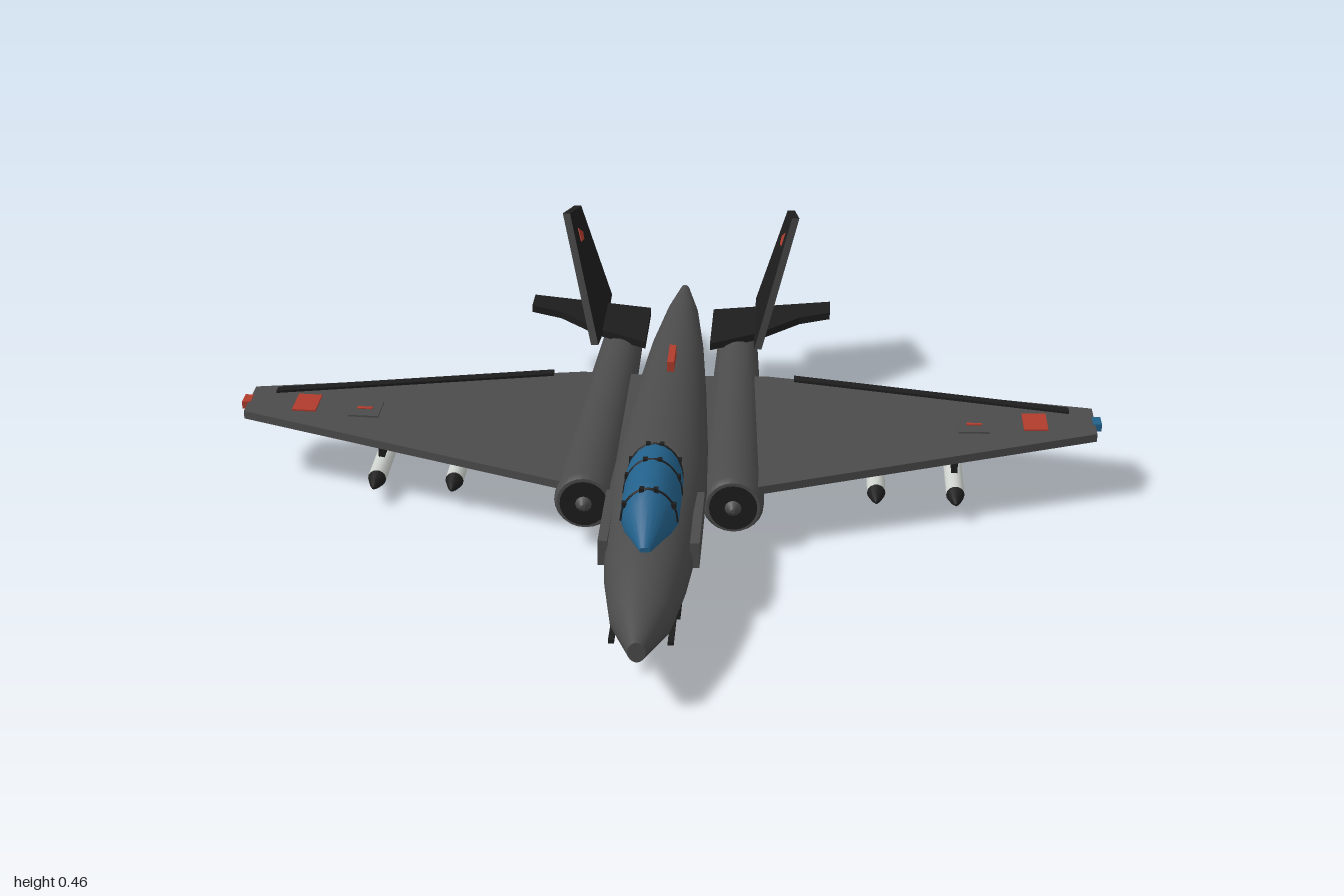
import * as THREE from 'three';

const mat = (name, color, side = THREE.FrontSide) => {
  const m = new THREE.MeshStandardMaterial({ color, side });
  m.name = name;
  return m;
};

// Skin through elliptical sections [z, centreX, centreY, radiusX, radiusY], nose first, with flat caps
function loft(sections, n = 24) {
  const pos = [], idx = [];
  const ring = ([z, cx, cy, rx, ry]) => {
    const start = pos.length / 3;
    for (let j = 0; j < n; j++) {
      const a = (j / n) * Math.PI * 2;
      pos.push(cx + rx * Math.cos(a), cy + ry * Math.sin(a), z);
    }
    return start;
  };
  const rings = sections.map(ring);
  for (let i = 0; i + 1 < rings.length; i++) {
    for (let j = 0; j < n; j++) {
      const k = (j + 1) % n, a = rings[i], b = rings[i + 1];
      idx.push(a + j, b + j, a + k, a + k, b + j, b + k);
    }
  }
  [sections[0], sections[sections.length - 1]].forEach((s, end) => {
    const r = ring(s), c = pos.length / 3;
    pos.push(s[1], s[2], s[0]);
    for (let j = 0; j < n; j++) {
      const k = (j + 1) % n;
      if (end) idx.push(c, r + k, r + j);
      else idx.push(c, r + j, r + k);
    }
  });
  const g = new THREE.BufferGeometry();
  g.setAttribute('position', new THREE.Float32BufferAttribute(pos, 3));
  g.setIndex(idx);
  g.computeVertexNormals();
  return g;
}

const extrude = (pts, depth) => new THREE.ExtrudeGeometry(
  new THREE.Shape(pts.map(p => new THREE.Vector2(...p))), { depth, bevelEnabled: false });

// Move every vertex by a rule, keeping facets flat
function bend(g, rule) {
  const p = g.attributes.position;
  for (let i = 0; i < p.count; i++) {
    const [x, y, z] = rule(p.getX(i), p.getY(i), p.getZ(i));
    p.setXYZ(i, x, y, z);
  }
  g.computeVertexNormals();
  return g;
}

// Level plate from [x, z] corners whose underside follows height(|x|)
const plate = (side, pts, t, height) => bend(
  extrude(pts.map(([x, z]) => [side * x, -z]), t).rotateX(-Math.PI / 2),
  (x, y, z) => [x, y + height(Math.abs(x)), z]);

// Upright plate from [z, y] corners that leans outward with height
const upright = (side, pts, t, offset = 0) => bend(
  extrude(pts.map(([z, y]) => [-z, y]), t).translate(0, 0, -t / 2).rotateY(Math.PI / 2),
  (x, y, z) => [x + offset + side * (0.2 + (y - 0.19) * 0.31), y, z]);

const wingBase = x => 0.13 + 0.026 * x;
const wingTop = x => wingBase(x) + 0.019;

export function createModel() {
  const grey = mat('hull grey', 0x4b4b4b);
  const black = mat('trim black', 0x1d1d1d);
  const red = mat('marking red', 0xb03c2c);
  const blue = mat('glass blue', 0x22608a);
  const white = mat('missile white', 0xcdd2cd);

  const model = new THREE.Group();
  const add = (name, geometry, material, parent = model) => {
    const m = new THREE.Mesh(geometry, material);
    m.name = name;
    parent.add(m);
    return m;
  };
  const box = (name, size, at, material, parent) =>
    add(name, new THREE.BoxGeometry(...size).translate(...at), material, parent);

  // Fuselage
  add('fuselage', loft([
    [0.88, 0, 0.143, 0.018, 0.022], [0.75, 0, 0.14, 0.064, 0.06], [0.62, 0, 0.147, 0.085, 0.083],
    [0.5, 0, 0.148, 0.095, 0.093], [0.22, 0, 0.15, 0.107, 0.1], [0, 0, 0.148, 0.1, 0.094],
    [-0.3, 0, 0.15, 0.082, 0.077], [-0.54, 0, 0.155, 0.064, 0.057],
    [-0.77, 0, 0.147, 0.04, 0.046], [-0.88, 0, 0.16, 0.014, 0.024],
  ], 32), grey);
  add('chinSensor', loft([
    [0.72, 0, 0.075, 0.02, 0.014], [0.68, 0, 0.066, 0.04, 0.028],
    [0.64, 0, 0.062, 0.04, 0.028], [0.59, 0, 0.075, 0.03, 0.014]], 12), black);
  box('bellyBay', [0.14, 0.035, 0.37], [0, 0.066, 0.405], black);
  add('bellyFairing', loft([
    [0.4, 0, 0.065, 0.05, 0.018], [0.3, 0, 0.06, 0.06, 0.022], [0.1, 0, 0.062, 0.04, 0.012]], 12), black);
  box('spineBeacon', [0.016, 0.045, 0.1], [0, 0.232, -0.29], red);

  // Canopy with dark frame hoops
  add('canopy', loft([
    [0.63, 0, 0.232, 0.012, 0.006], [0.54, 0, 0.235, 0.05, 0.064], [0.49, 0, 0.235, 0.062, 0.081],
    [0.33, 0, 0.235, 0.062, 0.085], [0.295, 0, 0.235, 0.055, 0.074], [0.23, 0, 0.238, 0.016, 0.014],
  ], 20), blue);
  for (const [z, rx, ry] of [[0.51, 0.059, 0.075], [0.39, 0.062, 0.083], [0.31, 0.059, 0.079]]) {
    const hoop = add('canopyFrame', new THREE.TorusGeometry(1, 0.035, 6, 20, Math.PI), black);
    hoop.scale.set(rx, ry, 0.1);
    hoop.position.set(0, 0.235, z);
    for (const s of [-1, 1]) {
      box('canopyLatch', [0.01, 0.012, 0.012], [s * rx * 0.87, 0.235 + ry * 0.5, z], black);
      box('canopyLatch', [0.01, 0.01, 0.012], [s * rx * 0.25, 0.235 + ry * 0.97, z], black);
    }
  }

  for (const s of [-1, 1]) {
    const half = new THREE.Group();
    half.name = s > 0 ? 'leftSide' : 'rightSide';
    model.add(half);

    // Nose details and side panel
    box('sidePanel', [0.02, 0.058, 0.23], [s * 0.096, 0.167, 0.415], grey, half);
    box('gunPort', [0.012, 0.008, 0.1], [s * 0.06, 0.093, 0.71], black, half);

    // Engine nacelle
    add('nacelle', loft([
      [0.215, s * 0.165, 0.115, 0.06, 0.06], [0.2, s * 0.164, 0.115, 0.068, 0.068],
      [0.12, s * 0.162, 0.115, 0.069, 0.069], [-0.4, s * 0.15, 0.115, 0.058, 0.06],
      [-0.66, s * 0.145, 0.115, 0.05, 0.053]]), grey, half);
    add('intake', loft([[0.219, s * 0.165, 0.115, 0.053, 0.053], [0.21, s * 0.165, 0.115, 0.053, 0.053]]), black, half);
    add('intakeCone', loft([[0.235, s * 0.165, 0.115, 0.005, 0.005], [0.215, s * 0.165, 0.115, 0.022, 0.022]], 12), grey, half);
    add('nozzle', loft([
      [-0.655, s * 0.145, 0.115, 0.047, 0.047], [-0.69, s * 0.145, 0.115, 0.044, 0.044]]), black, half);

    // Wing and its painted details
    add('wing', plate(s, [[0.05, 0.18], [0.22, 0.19], [0.985, -0.08], [0.985, -0.215], [0.22, -0.39], [0.05, -0.39]],
      0.019, wingBase), grey, half);
    add('flap', plate(s, [[0.29, -0.357], [0.93, -0.185], [0.93, -0.208], [0.29, -0.382]], 0.006, wingTop), black, half);
    add('wingMarking', plate(s, [[0.82, -0.095], [0.875, -0.095], [0.875, -0.18], [0.82, -0.18]], 0.004, wingTop), red, half);
    add('wingHatch', plate(s, [[0.67, -0.08], [0.74, -0.08], [0.74, -0.16], [0.67, -0.16]], 0.004, wingTop), grey, half);
    add('hatchMark', plate(s, [[0.69, -0.115], [0.725, -0.115], [0.725, -0.125], [0.69, -0.125]],
      0.002, x => wingTop(x) + 0.004), red, half);
    box('wingtipLight', [0.02, 0.018, 0.04], [s * 0.99, 0.167, -0.148], s > 0 ? blue : red, half);

    // Leaning tail fin with a marking on each face
    add('tailFin', upright(s, [[-0.47, 0.19], [-0.66, 0.46], [-0.82, 0.42], [-0.825, 0.175], [-0.65, 0.17]], 0.018), black, half);
    for (const face of [-1, 1]) {
      add('finMarking', upright(s, [[-0.675, 0.38], [-0.69, 0.41], [-0.73, 0.385], [-0.715, 0.372]], 0.003, face * 0.0095), red, half);
    }
    add('stabilizer', plate(s, [[0.08, -0.535], [0.2, -0.575], [0.3, -0.65], [0.375, -0.665], [0.375, -0.735], [0.08, -0.75]],
      0.018, x => 0.145 + 0.12 * x), black, half);

    // Missiles on pylons
    for (const x of [0.485, 0.665]) {
      const missile = new THREE.Group();
      missile.name = 'missile';
      missile.position.set(s * x, 0.05, 0);
      half.add(missile);
      add('missileBody', loft([[0, 0, 0, 0.021, 0.021], [-0.26, 0, 0, 0.021, 0.021]], 14), white, missile);
      add('missileNose', loft([[0.05, 0, 0, 0.003, 0.003], [0.03, 0, 0, 0.012, 0.012], [0, 0, 0, 0.021, 0.021]], 14), black, missile);
      box('missileFinUpright', [0.007, 0.092, 0.1], [0, 0, -0.2], black, missile);
      box('missileFinLevel', [0.092, 0.007, 0.06], [0, 0, -0.22], black, missile);
      box('pylon', [0.014, 0.085, 0.15], [0, 0.061, -0.145], black, missile);
    }
  }
  return model;
}
